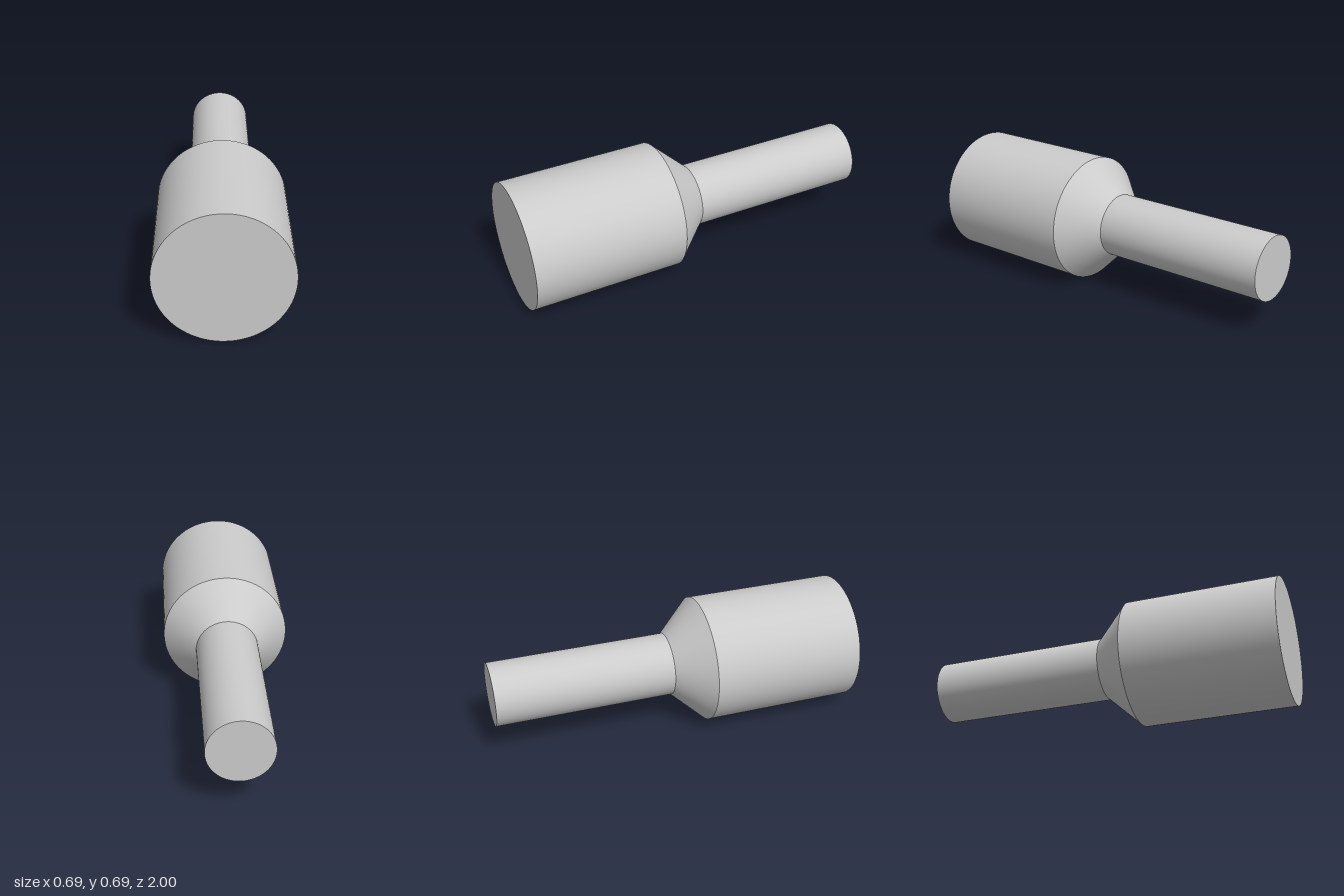
import * as THREE from 'three';

const BODY_RADIUS = 0.347;
const SHAFT_RADIUS = 0.172;
const SIDES = 96;
// Stations along z: front face, shoulder start, shoulder end, back face
const [FRONT, SHOULDER, NECK, BACK] = [1, 0.165, -0.02, -1];

export function createModel() {
  const group = new THREE.Group();
  group.name = 'steppedPin';
  const material = new THREE.MeshStandardMaterial({ color: 0xcccccc });

  const add = (name, geometry, z) => {
    const mesh = new THREE.Mesh(geometry, material);
    mesh.name = name;
    mesh.position.set(0, BODY_RADIUS, z);
    group.add(mesh);
  };

  // Open wall of revolution between two stations on the z axis
  const wall = (name, frontRadius, backRadius, z0, z1) =>
    add(name, new THREE.CylinderGeometry(frontRadius, backRadius, z0 - z1, SIDES, 1, true)
      .rotateX(Math.PI / 2), (z0 + z1) / 2);

  wall('body', BODY_RADIUS, BODY_RADIUS, FRONT, SHOULDER);
  wall('taperedShoulder', BODY_RADIUS, SHAFT_RADIUS, SHOULDER, NECK);
  wall('shaft', SHAFT_RADIUS, SHAFT_RADIUS, NECK, BACK);

  // Flat end faces
  add('frontFace', new THREE.CircleGeometry(BODY_RADIUS, SIDES), FRONT);
  add('backFace', new THREE.CircleGeometry(SHAFT_RADIUS, SIDES).rotateY(Math.PI), BACK);

  return group;
}
